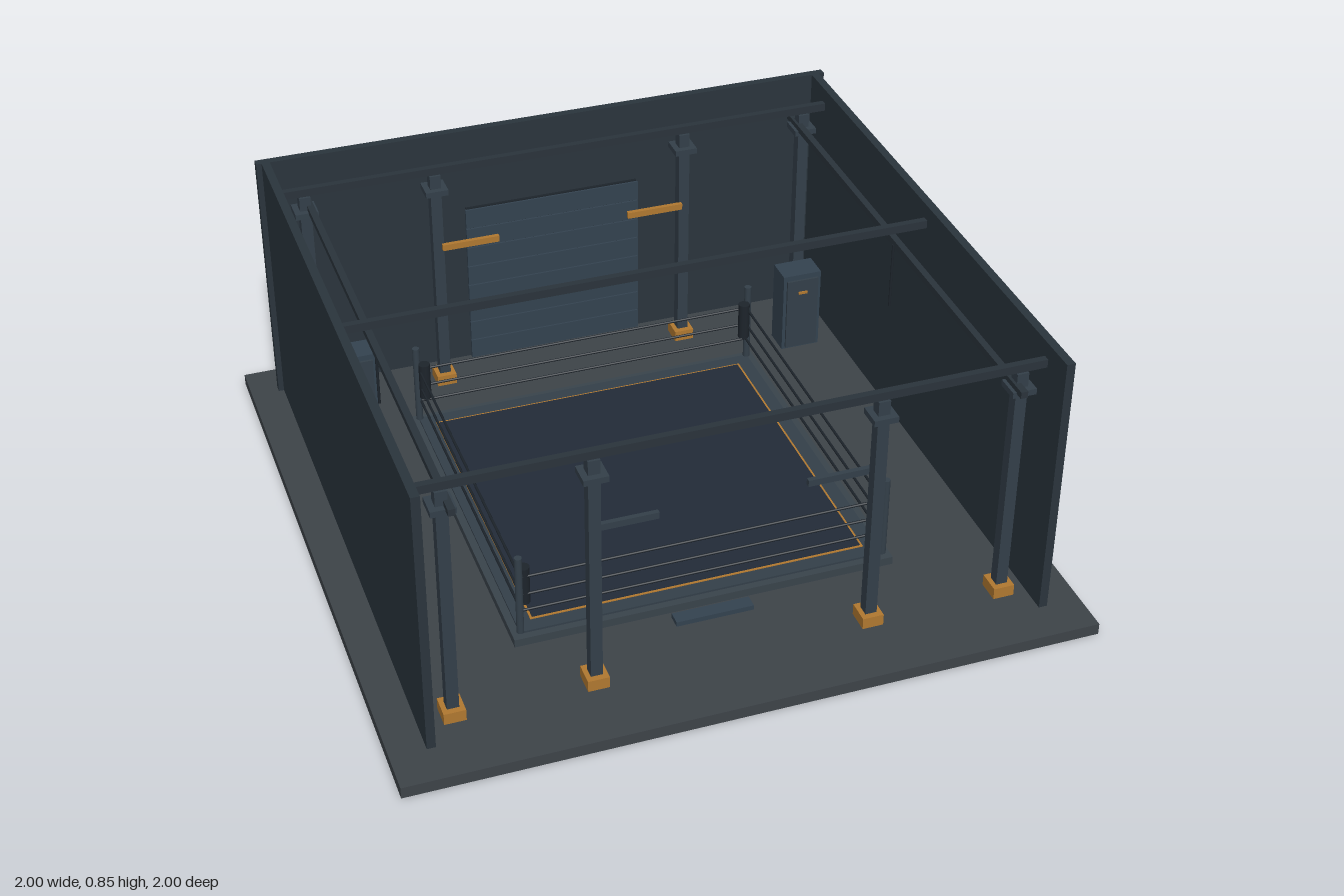
import * as THREE from 'three';

const mat = (color) => new THREE.MeshStandardMaterial({ color, side: THREE.FrontSide });
const M = {
  floor: mat(0x3d4348), wall: mat(0x2a343c), steel: mat(0x333f49), beam: mat(0x2a333b),
  door: mat(0x33424f), orange: mat(0xb07830), canvas: mat(0x222b38), apron: mat(0x39434b), dark: mat(0x1d242b),
};

export function createModel() {
  const root = new THREE.Group();
  const add = (name, geo, m, x, y, z) => {
    const mesh = new THREE.Mesh(geo, m);
    mesh.name = name;
    mesh.position.set(x, y, z);
    root.add(mesh);
    return mesh;
  };
  // box given by its min and max along each axis
  const box = (name, m, x0, x1, y0, y1, z0, z1) =>
    add(name, new THREE.BoxGeometry(x1 - x0, y1 - y0, z1 - z0), m, (x0 + x1) / 2, (y0 + y1) / 2, (z0 + z1) / 2);
  // box given by centre and size
  const block = (name, m, x, y, z, w, h, d) => add(name, new THREE.BoxGeometry(w, h, d), m, x, y, z);
  const rod = (name, m, r, h, x, y, z, seg = 12) => add(name, new THREE.CylinderGeometry(r, r, h, seg), m, x, y, z);
  const F = 0.035; // floor top

  // hall shell
  box('floor', M.floor, -1, 1, 0, F, -1, 1);
  box('backWall', M.wall, -0.915, 0.915, F, 0.853, -0.9, -0.875);
  for (const s of [-1, 1]) block('sideWall', M.wall, s * 0.886, (F + 0.853) / 2, 0, 0.025, 0.853 - F, 1.76);

  // roof beams
  for (const z of [-0.77, 0, 0.77]) block('crossBeam', M.beam, 0, 0.795, z, 1.75, 0.025, 0.02);
  for (const s of [-1, 1]) {
    block('longBeam', M.beam, s * 0.785, 0.745, 0, 0.02, 0.02, 1.66);
    rod('hangingRod', M.dark, 0.004, 0.21, s * 0.775, 0.635, 0, 8);
  }

  // columns with foot, cap and arm
  for (const z of [-0.77, 0.77]) {
    for (const x of [-0.8, -0.4, 0.4, 0.8]) {
      block('columnFoot', M.orange, x, F + 0.0175, z, 0.062, 0.035, 0.07);
      block('column', M.steel, x, 0.425, z, 0.034, 0.715, 0.034);
      block('columnCap', M.steel, x, 0.73, z, 0.07, 0.018, 0.07);
    }
    for (const s of [-1, 1])
      block('columnArm', z < 0 ? M.orange : M.steel, s * 0.3, 0.535, z < 0 ? -0.747 : 0.742, 0.18, 0.02, 0.014);
  }

  // ring platform, border and canvas
  box('ringPlatform', M.apron, -0.565, 0.565, F, 0.06, -0.565, 0.565);
  box('ringDeck', M.steel, -0.543, 0.543, 0.06, 0.066, -0.543, 0.543);
  box('canvasBorder', M.orange, -0.5, 0.5, 0.066, 0.068, -0.5, 0.5);
  box('canvas', M.canvas, -0.493, 0.493, 0.068, 0.07, -0.493, 0.493);
  box('step', M.door, -0.115, 0.115, F, 0.05, 0.585, 0.627);

  // ring corners
  for (const sx of [-1, 1]) for (const sz of [-1, 1]) {
    rod('ringPost', M.steel, 0.011, 0.258, sx * 0.541, 0.195, sz * 0.541);
    rod('cornerPad', M.dark, 0.018, 0.12, sx * 0.522, 0.215, sz * 0.522);
  }
  // ropes on all four sides
  for (const y of [0.135, 0.19, 0.25]) for (const s of [-1, 1]) {
    rod('rope', M.dark, 0.004, 1.07, 0, y, s * 0.535, 8).rotation.z = Math.PI / 2;
    rod('rope', M.dark, 0.004, 1.07, s * 0.535, y, 0, 8).rotation.x = Math.PI / 2;
  }

  // slatted shutter on the back wall
  box('shutter', M.dark, -0.28, 0.28, F, 0.585, -0.875, -0.866);
  for (let i = 0; i < 8; i++) {
    const y = F + i * 0.0688;
    box('shutterSlat', M.door, -0.283, 0.283, y, y + 0.065, -0.87, -0.86);
  }

  // cabinets
  for (const s of [-1, 1]) {
    block('cabinet', M.door, s * 0.728, 0.195, -0.587, 0.126, 0.27, 0.086);
    block('cabinetDoor', M.steel, s * 0.728, 0.19, -0.541, 0.105, 0.245, 0.008);
    block('cabinetHandle', M.orange, s * 0.728, 0.268, -0.535, 0.03, 0.008, 0.006);
  }
  return root;
}
